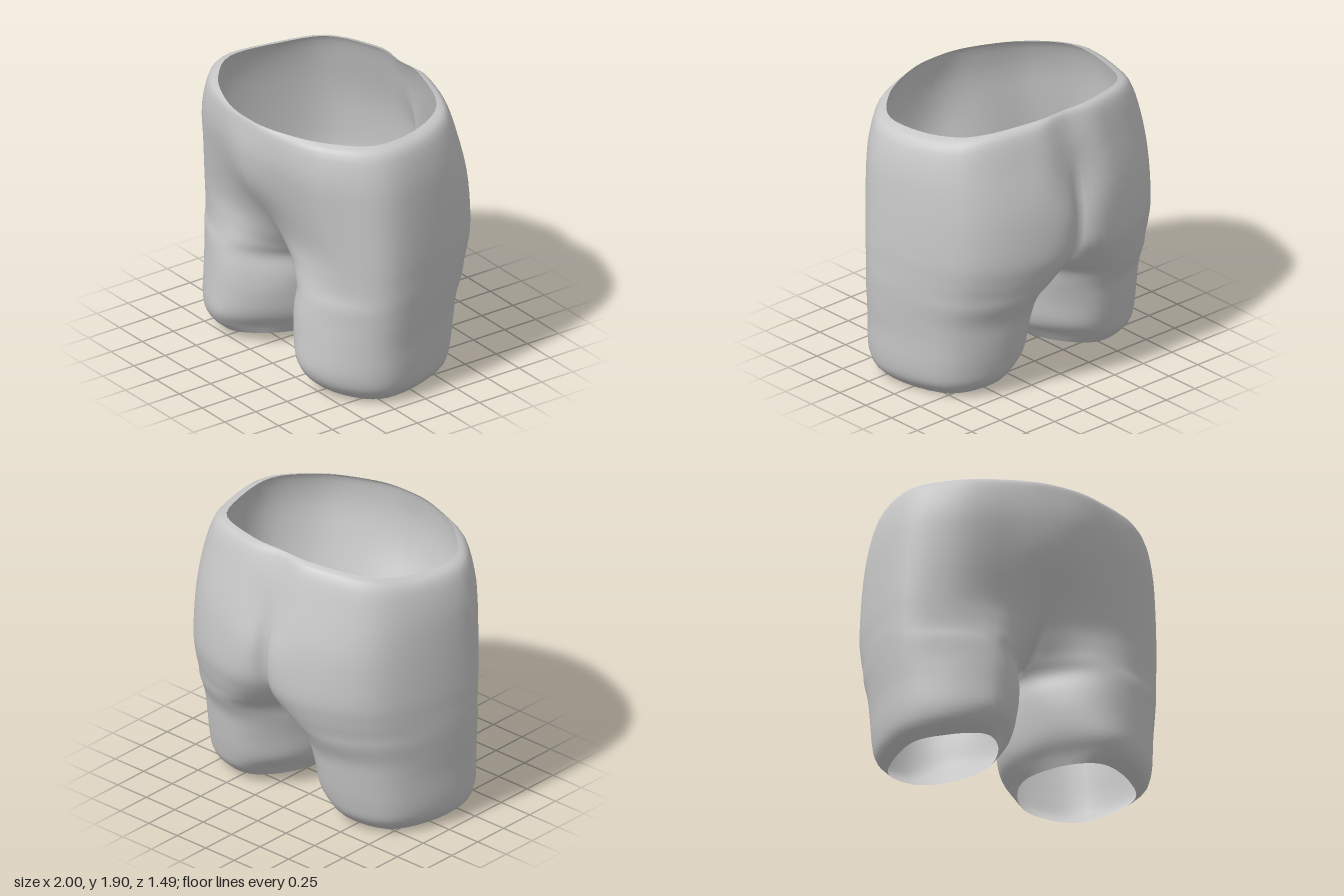
import * as THREE from 'three';
import { mergeVertices } from 'three/addons/utils/BufferGeometryUtils.js';

// Level: y, outer x, groin x, groin z, thigh front z, hip front z, cleft z, seat z, inner thigh x
const LEVELS = [
  [1.85, 0.81, 0, 0.71, 0.67, 0.50, -0.51, -0.50, 0],
  [1.80, 0.90, 0, 0.725, 0.69, 0.535, -0.55, -0.56, 0],
  [1.60, 0.96, 0, 0.74, 0.69, 0.55, -0.62, -0.63, 0],
  [1.35, 0.985, 0, 0.685, 0.635, 0.525, -0.65, -0.705, 0],
  [1.04, 1.00, 0, 0.50, 0.54, 0.49, -0.64, -0.73, 0],
  [0.88, 1.00, 0, 0.38, 0.53, 0.48, -0.55, -0.70, 0],
  [0.77, 1.00, 0, 0.27, 0.54, 0.48, -0.42, -0.66, 0],
  [0.68, 0.995, 0.07, 0.28, 0.56, 0.49, -0.36, -0.62, 0.035],
  [0.55, 0.985, 0.09, 0.33, 0.585, 0.495, -0.33, -0.56, 0.01],
  [0.40, 0.97, 0.13, 0.38, 0.60, 0.505, -0.33, -0.53, 0.01],
  [0.20, 0.96, 0.17, 0.37, 0.61, 0.51, -0.33, -0.49, 0.04],
  [0.08, 0.93, 0.22, 0.34, 0.57, 0.48, -0.28, -0.45, 0.10],
  [0.00, 0.85, 0.25, 0.33, 0.50, 0.42, -0.25, -0.38, 0.15],
];
const CROTCH = 6; // level where the torso parts into two legs
const ROW_STEPS = 4, SEG_STEPS = 6, OUTER_SEGS = 6;

const catmull = (a, b, c, d, t) => 0.5 * (2 * b + (c - a) * t
  + (2 * a - 5 * b + 4 * c - d) * t * t + (3 * b - a - 3 * c + d) * t * t * t);
const { lerp, clamp, smoothstep } = THREE.MathUtils;

// Smoothly interpolated level parameters
function levelAt(u) {
  const last = LEVELS.length - 1;
  const i = Math.min(Math.floor(u), last - 1);
  const at = (k) => LEVELS[clamp(k, 0, last)];
  return LEVELS[0].map((_, k) =>
    catmull(at(i - 1)[k], at(i)[k], at(i + 1)[k], at(i + 2)[k], u - i));
}

// One half-body loop: front centre, outer side, back centre, inner thigh
function section(u) {
  const [y, X, g, f0, f1, f2, b0, b1, inner] = levelAt(u);
  const w = X - g;
  const p = [
    [g, f0], [g + 0.33 * w, f1], [g + 0.74 * w, f2], [X, 0.2],
    [g + 0.82 * w, b1 * 0.64], [g + 0.33 * w, b1], [g, b0], [inner, 0.02],
  ];
  // Continue straight across the belly, but fold in at the groin and cleft
  const frontFold = 1 - smoothstep(y, 0.8, 1.2);
  const backFold = 1 - smoothstep(y, 1.2, 1.6);
  const mix = (q, t) => [lerp(-q[0], p[7][0], t), lerp(q[1], p[7][1], t)];
  const before = mix(p[1], frontFold), after = mix(p[5], backFold);
  const points = [];
  for (let s = 0; s < 8; s++) {
    const a = s === 0 ? before : p[s - 1 ];
    const b = p[s], c = p[(s + 1) % 8];
    const d = s === 5 ? after : p[(s + 2) % 8];
    for (let k = 0; k < SEG_STEPS; k++) {
      const t = k / SEG_STEPS;
      let x = Math.max(0, catmull(a[0], b[0], c[0], d[0], t));
      if (s >= OUTER_SEGS && u <= CROTCH) x = 0;
      const z = catmull(a[1], b[1], c[1], d[1], t);
      // Waist rises at the back, leg hems rise towards the inside and the front
      const waist = clamp((y - 1.4) / 0.45, 0, 1) * (-0.015 + (z < 0 ? 0.26 : 0.03) * z * z);
      const hem = clamp(1 - y / 0.3, 0, 1)
        * (0.07 * clamp((0.75 - x) / 0.6, 0, 1) ** 1.5 + 0.13 * z * z);
      points.push([x, y + waist + hem, z]);
    }
  }
  return points;
}

function bodyGeometry() {
  const rows = (LEVELS.length - 1) * ROW_STEPS;
  const loop = 8 * SEG_STEPS, outer = OUTER_SEGS * SEG_STEPS;
  const positions = [], indices = [];
  for (const side of [1, -1]) {
    const base = positions.length / 3;
    for (let i = 0; i <= rows; i++) {
      for (const [x, y, z] of section(i / ROW_STEPS)) positions.push(side * x, y, z);
    }
    for (let i = 0; i < rows; i++) {
      // Above the crotch there is no inner wall
      const count = i < CROTCH * ROW_STEPS ? outer : loop;
      for (let j = 0; j < count; j++) {
        const k = (j + 1) % loop;
        const a = base + i * loop + j, b = a + loop;
        const c = base + i * loop + k, d = c + loop;
        if (side > 0) indices.push(a, b, c, c, b, d);
        else indices.push(a, c, b, c, d, b);
      }
    }
  }
  let geometry = new THREE.BufferGeometry();
  geometry.setAttribute('position', new THREE.Float32BufferAttribute(positions, 3));
  geometry.setIndex(indices);
  geometry = mergeVertices(geometry, 1e-4); // weld the two halves along the middle
  geometry.computeVertexNormals();
  return geometry;
}

export function createModel() {
  const model = new THREE.Group();
  model.name = 'lowerTorso';
  const grey = new THREE.MeshStandardMaterial({ color: 0xc8c8c8, side: THREE.DoubleSide });
  grey.name = 'plain grey';
  const body = new THREE.Mesh(bodyGeometry(), grey);
  body.name = 'hipsAndThighs';
  model.add(body);
  return model;
}
